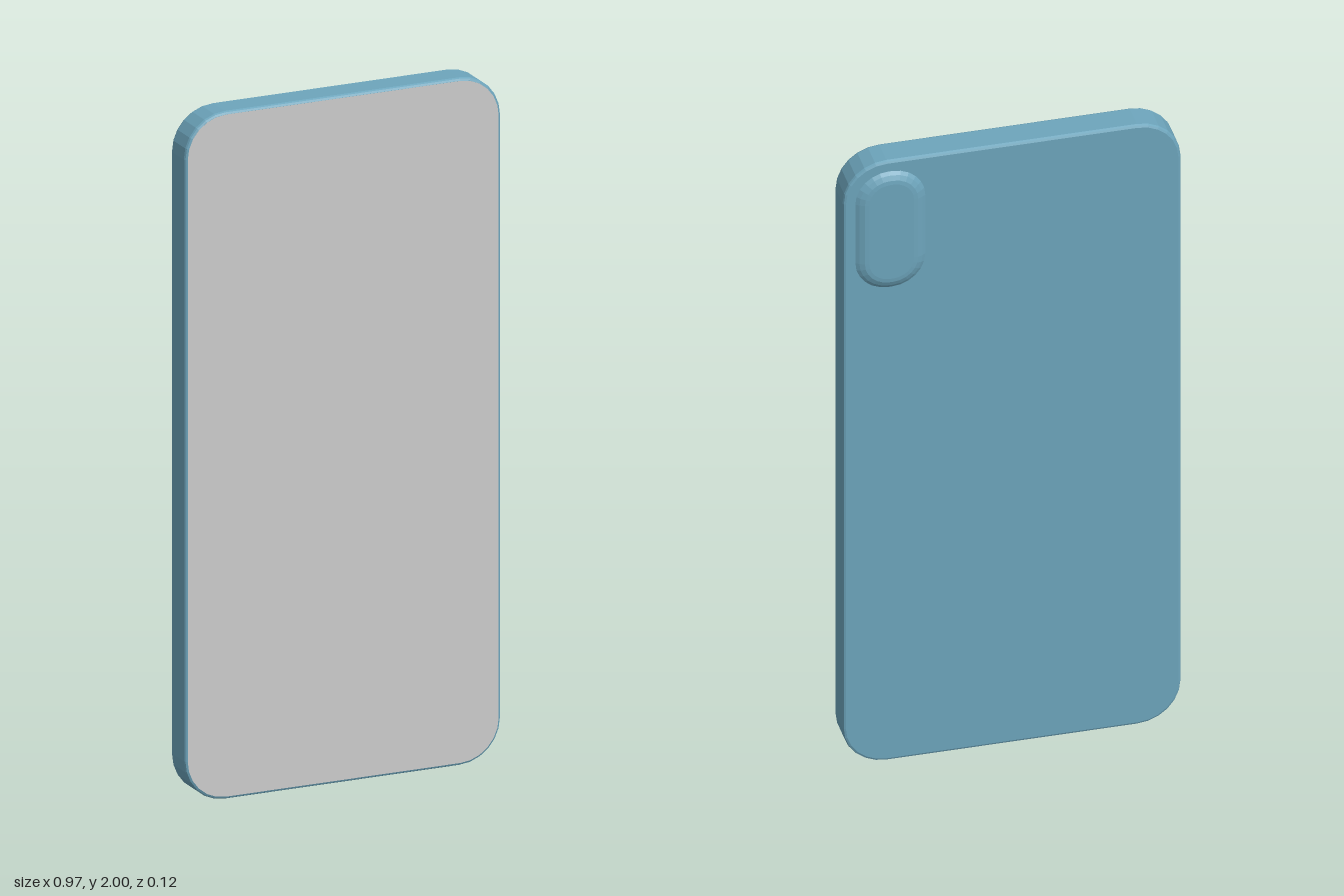
import * as THREE from 'three';

const CORNER_STEPS = 6;

// Counter-clockwise rounded rectangle, seen from +z
function roundedLoop(w, h, r) {
  const pts = [];
  const corners = [[1, 1], [-1, 1], [-1, -1], [1, -1]];
  corners.forEach(([sx, sy], q) => {
    for (let i = 0; i <= CORNER_STEPS; i++) {
      const a = (q + i / CORNER_STEPS) * Math.PI / 2;
      pts.push([sx * (w / 2 - r) + r * Math.cos(a), sy * (h / 2 - r) + r * Math.sin(a)]);
    }
  });
  return pts;
}

// Closed slab through rounded outlines; profile rows are [inset, z] from back to front
function slab(w, h, r, profile) {
  const pos = [];
  const index = [];
  const n = 4 * (CORNER_STEPS + 1);
  profile.forEach(([inset, z]) => {
    roundedLoop(w - 2 * inset, h - 2 * inset, r - inset).forEach(([x, y]) => pos.push(x, y, z));
  });
  for (let k = 0; k < profile.length - 1; k++) {
    for (let i = 0; i < n; i++) {
      const a = k * n + i, b = k * n + (i + 1) % n;
      index.push(a, b, b + n, a, b + n, a + n);
    }
  }
  const last = (profile.length - 1) * n;
  for (let i = 1; i < n - 1; i++) {
    index.push(0, i + 1, i);
    index.push(last, last + i, last + i + 1);
  }
  const geo = new THREE.BufferGeometry();
  geo.setAttribute('position', new THREE.Float32BufferAttribute(pos, 3));
  geo.setIndex(index);
  const flat = geo.toNonIndexed();
  flat.computeVertexNormals();
  return flat;
}

export function createModel() {
  const group = new THREE.Group();
  const shell = new THREE.MeshStandardMaterial({ color: 0x6da5bc, flatShading: true });
  const grey = new THREE.MeshStandardMaterial({ color: 0xcccccc });
  const W = 0.966, H = 2, R = 0.125, FRONT = 0.056, BACK = -0.037;

  const add = (name, geo, mat, x, y) => {
    const mesh = new THREE.Mesh(geo, mat);
    mesh.name = name;
    mesh.position.set(x, y, 0);
    group.add(mesh);
  };

  // Case with softened front and back rims
  add('body', slab(W, H, R, [
    [0.008, BACK], [0.0025, BACK + 0.0025], [0, BACK + 0.008],
    [0, FRONT - 0.008], [0.0025, FRONT - 0.0025], [0.008, FRONT],
  ]), shell, 0, 1);

  // Flat display filling the front face
  const outline = roundedLoop(W - 0.016, H - 0.016, R - 0.008).map(([x, y]) => new THREE.Vector2(x, y));
  const display = new THREE.ShapeGeometry(new THREE.Shape(outline));
  display.translate(0, 0, FRONT + 0.001);
  add('screen', display, grey, 0, 1);

  // Raised pill on the back, standing just clear of the case
  add('cameraBump', slab(0.2, 0.385, 0.095, [
    [0.036, -0.059], [0.024, -0.0575], [0.01, -0.051], [0, -0.044],
  ]), shell, 0.35, 1.778);

  return group;
}
